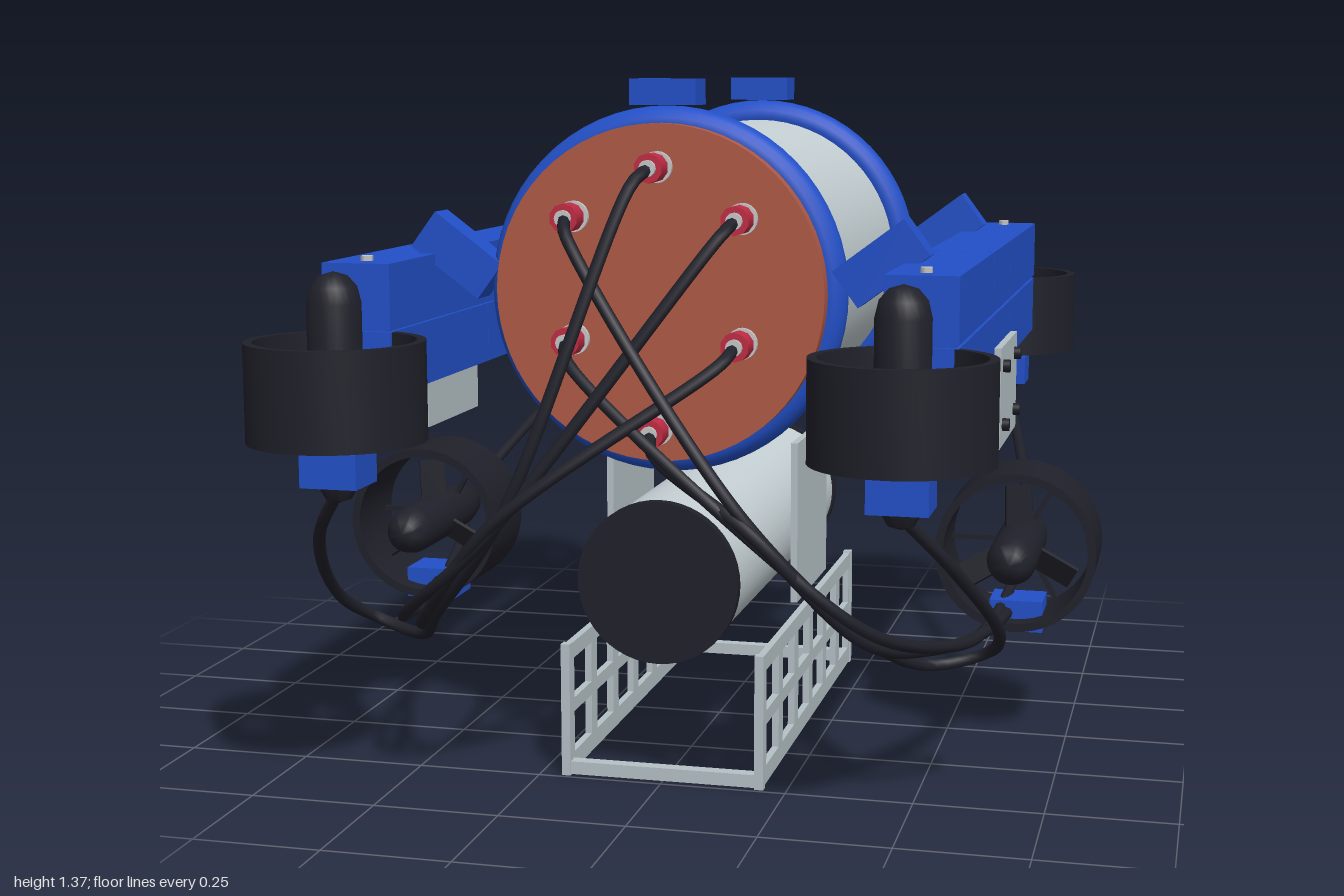
import * as THREE from 'three';
import { toCreasedNormals } from 'three/addons/utils/BufferGeometryUtils.js';

const mat = (name, color) => {
  const m = new THREE.MeshStandardMaterial({ color });
  m.name = name;
  return m;
};

export function createModel() {
  const root = new THREE.Group();
  root.name = 'underwaterVehicle';
  const blue = mat('blue', 0x2250c8), dark = mat('nearBlack', 0x20202a), rust = mat('rust', 0xb05a46),
    hullGrey = mat('hullGrey', 0xc6d1d5), frameGrey = mat('frameGrey', 0xb6c2c7),
    red = mat('red', 0xc02c44), teal = mat('teal', 0x2a4c5e), steel = mat('steel', 0xc8c8c8);

  const add = (parent, name, geo, material, x = 0, y = 0, z = 0) => {
    const m = new THREE.Mesh(geo, material);
    m.name = name;
    m.position.set(x, y, z);
    parent.add(m);
    return m;
  };
  const box = (w, h, d) => new THREE.BoxGeometry(w, h, d);
  const lathe = (pts, seg = 40) =>
    toCreasedNormals(new THREE.LatheGeometry(pts.map(p => new THREE.Vector2(...p)), seg), 0.7);
  // cylinder lying along z between z0 and z1
  const tubeZ = (parent, name, r, z0, z1, x, y, material, seg = 48) =>
    add(parent, name, new THREE.CylinderGeometry(r, r, Math.abs(z1 - z0), seg).rotateX(Math.PI / 2),
      material, x, y, (z0 + z1) / 2);

  // main pressure hull with end caps
  const hullY = 0.97;
  tubeZ(root, 'mainHull', 0.31, -0.47, 0.47, 0, hullY, hullGrey, 64);
  for (const s of [-1, 1]) {
    tubeZ(root, 'hullEndCap', 0.322, s * 0.47, s * 0.503, 0, hullY, rust, 64);
    // clamp ring, top tab and angled arms
    const ring = new THREE.Group();
    ring.name = 'clampRing';
    ring.position.set(0, hullY, s * 0.425);
    root.add(ring);
    add(ring, 'ring', new THREE.TorusGeometry(0.318, 0.036, 16, 64), blue);
    add(ring, 'topTab', box(0.13, 0.05, 0.08), blue, 0, 0.38, 0);
    for (const t of [-1, 1])
      add(ring, 'clampArm', box(0.17, 0.085, 0.07), blue, t * 0.42, 0.062, 0).rotation.z = t * 0.64;
  }

  // lower canister with camera end
  const canY = 0.41;
  tubeZ(root, 'canister', 0.155, -0.495, 0.495, 0, canY, hullGrey);
  tubeZ(root, 'canisterFrontCap', 0.16, 0.495, 0.518, 0, canY, dark);
  tubeZ(root, 'canisterRearCap', 0.16, -0.495, -0.516, 0, canY, dark);
  tubeZ(root, 'lensCollar', 0.132, -0.516, -0.557, 0, canY, hullGrey);
  tubeZ(root, 'lensGlass', 0.108, -0.557, -0.576, 0, canY, teal);
  tubeZ(root, 'lensPupil', 0.038, -0.576, -0.592, 0, canY, dark);

  // thruster: duct, hub, blades and struts around the local y axis
  const ductGeo = lathe([[0.165, -0.092], [0.165, 0.092], [0.148, 0.092], [0.148, -0.092], [0.165, -0.092]], 48);
  const hubGeo = lathe([[0, -0.208], [0.024, -0.2], [0.038, -0.175], [0.046, -0.13], [0.05, -0.08],
    [0.05, 0.16], [0.043, 0.19], [0.026, 0.21], [0, 0.218]], 24);
  const thruster = (x, y, z, sideways) => {
    const g = new THREE.Group();
    g.name = 'thruster';
    g.position.set(x, y, z);
    root.add(g);
    const body = new THREE.Group();
    body.name = 'thrusterBody';
    if (sideways) body.rotation.x = Math.PI / 2;
    g.add(body);
    add(body, 'duct', ductGeo, dark);
    add(body, 'hub', hubGeo, dark);
    for (let i = 0; i < 3; i++) {
      const arm = new THREE.Group();
      arm.name = 'bladeAndStrut';
      arm.rotation.y = Math.PI + i * Math.PI * 2 / 3;
      body.add(arm);
      add(arm, 'strut', box(0.12, 0.012, 0.01), dark, 0.095, -0.06, 0);
      const pivot = new THREE.Group();
      pivot.name = 'bladePivot';
      pivot.rotation.y = 0.55;
      arm.add(pivot);
      add(pivot, 'blade', box(0.095, 0.008, 0.055), dark, 0.082, 0.02, 0).rotation.x = 0.5;
    }
    add(g, 'motorBlock', box(0.11, 0.065, 0.1), blue, 0, -0.142, 0);
  };

  // skid side panel with two rows of windows
  const panel = new THREE.Shape();
  const rect = (path, x, y, w, h) => {
    path.moveTo(x, y);
    path.lineTo(x + w, y);
    path.lineTo(x + w, y + h);
    path.lineTo(x, y + h);
    path.closePath();
  };
  rect(panel, -0.49, 0.005, 0.98, 0.262);
  for (let i = 0; i < 6; i++)
    for (const y of [0.042, 0.152]) {
      const hole = new THREE.Path();
      rect(hole, -0.454 + i * 0.158, y, 0.118, 0.082);
      panel.holes.push(hole);
    }
  const panelGeo = new THREE.ExtrudeGeometry(panel, { depth: 0.014, bevelEnabled: false })
    .translate(0, 0, -0.007).rotateY(Math.PI / 2);

  for (const s of [-1, 1]) {
    // double side rail in three segments
    for (const z of [-0.428, 0, 0.428]) {
      const len = z ? 0.541 : 0.311;
      add(root, 'upperRail', box(0.135, 0.122, len), blue, s * 0.532, 0.973, z);
      add(root, 'lowerRail', box(0.135, 0.122, len), blue, s * 0.532, 0.845, z);
    }
    add(root, 'railJoint', box(0.12, 0.23, 1.38), blue, s * 0.532, 0.908, 0);
    for (const z of [-0.64, 0.64])
      add(root, 'railBolt', new THREE.CylinderGeometry(0.012, 0.012, 0.012, 6), steel, s * 0.532, 1.038, z);

    // rail mounting plate with bolts, hanger plate below the hull
    add(root, 'mountPlate', box(0.014, 0.205, 0.31), frameGrey, s * 0.609, 0.738, 0);
    for (const y of [0.68, 0.8])
      for (const z of [-0.105, 0.108])
        add(root, 'plateBolt', new THREE.CylinderGeometry(0.013, 0.013, 0.02, 12).rotateZ(Math.PI / 2),
          dark, s * 0.62, y, z);
    add(root, 'hangerPlate', box(0.014, 0.335, 0.325), frameGrey, s * 0.197, 0.466, 0);

    // skid
    add(root, 'skidPanel', panelGeo, frameGrey, s * 0.196, 0, 0);
    for (const z of [-0.482, 0.482])
      add(root, 'skidPost', box(0.018, 0.268, 0.02), frameGrey, s * 0.196, 0.136, z);
    add(root, 'skidCrossBar', box(0.39, 0.026, 0.026), frameGrey, 0, 0.018, s * 0.477);

    // thrusters
    thruster(s * 0.52, 0.813, 0.828, false);
    thruster(s * 0.52, 0.813, -0.828, false);
    thruster(s * 0.645, 0.41, 0, true);
  }

  // cable connectors on the front cap
  const ports = [[0, 1.21], [0.165, 1.115], [0.165, 0.88], [0, 0.71], [-0.165, 0.88], [-0.165, 1.115]];
  for (const [x, y] of ports) {
    tubeZ(root, 'portWasher', 0.03, 0.5, 0.512, x, y, steel, 20);
    tubeZ(root, 'portNut', 0.022, 0.51, 0.53, x, y, red, 12);
    tubeZ(root, 'portCap', 0.028, 0.528, 0.572, x, y, red, 10);
    tubeZ(root, 'portGland', 0.016, 0.572, 0.58, x, y, steel, 12);
  }

  // cables cross over in front of the hull and run to the thrusters on side s
  const cable = (port, s, path) => {
    const [px, py] = ports[port];
    const pts = [[px, py, 0.565], [px + s * 0.02, py - 0.03, 0.62],
      ...path.map(([x, y, z]) => [s * x, y, z])].map(p => new THREE.Vector3(...p));
    add(root, 'cable', new THREE.TubeGeometry(new THREE.CatmullRomCurve3(pts), 80, 0.012, 8), dark);
  };
  const toFront = [[0.22, 0.6, 0.76], [0.42, 0.35, 0.6], [0.52, 0.26, 0.44], [0.62, 0.28, 0.41],
    [0.66, 0.34, 0.5], [0.6, 0.52, 0.74], [0.52, 0.63, 0.83]];
  const toSide = [[0.24, 0.57, 0.77], [0.42, 0.36, 0.66], [0.52, 0.28, 0.4], [0.6, 0.27, 0.2], [0.63, 0.275, 0.03]];
  const toRear = [[0.26, 0.54, 0.76], [0.44, 0.38, 0.68], [0.56, 0.29, 0.4], [0.6, 0.27, 0.15],
    [0.63, 0.33, -0.1], [0.64, 0.42, -0.22], [0.6, 0.53, -0.45], [0.52, 0.66, -0.8]];
  cable(0, -1, toFront);
  cable(1, -1, toRear);
  cable(2, -1, toSide);
  cable(5, 1, toFront);
  cable(4, 1, toRear);
  cable(3, 1, toSide);
  return root;
}
